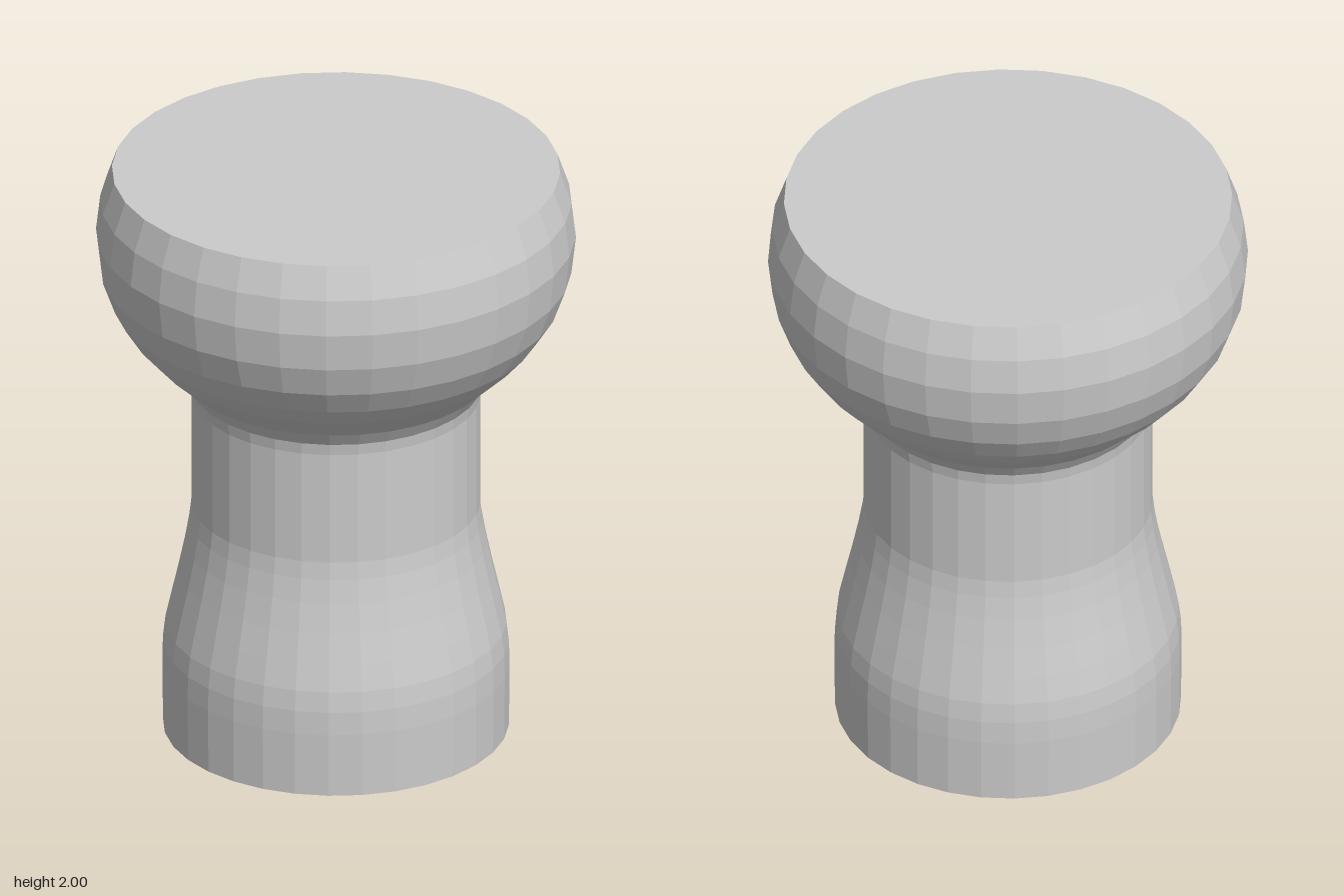
import * as THREE from 'three';

const SIDES = 32;

// Faceted solid of revolution from [radius, height] pairs, bottom to top
function turned(name, profile, material) {
  const points = profile.map(([r, y]) => new THREE.Vector2(r, y));
  const mesh = new THREE.Mesh(new THREE.LatheGeometry(points, SIDES), material);
  mesh.name = name;
  return mesh;
}

export function createModel() {
  const model = new THREE.Group();
  model.name = 'bottleCork';
  const material = new THREE.MeshStandardMaterial({ color: 0xcccccc, flatShading: true });

  // Flat-bottomed stem: wide foot easing into a straight neck
  model.add(turned('stem', [
    [0, 0], [0.566, 0], [0.568, 0.22], [0.566, 0.3], [0.558, 0.37],
    [0.538, 0.46], [0.515, 0.56], [0.494, 0.66], [0.48, 0.74],
    [0.473, 0.8], [0.473, 1.19], [0.479, 1.23], [0.512, 1.28],
  ], material));

  // Rounded head cut flat across the top
  model.add(turned('head', [
    [0.512, 1.28], [0.61, 1.37], [0.672, 1.44], [0.73, 1.53], [0.77, 1.64],
    [0.785, 1.77], [0.771, 1.89], [0.733, 2], [0, 2],
  ], material));

  return model;
}
